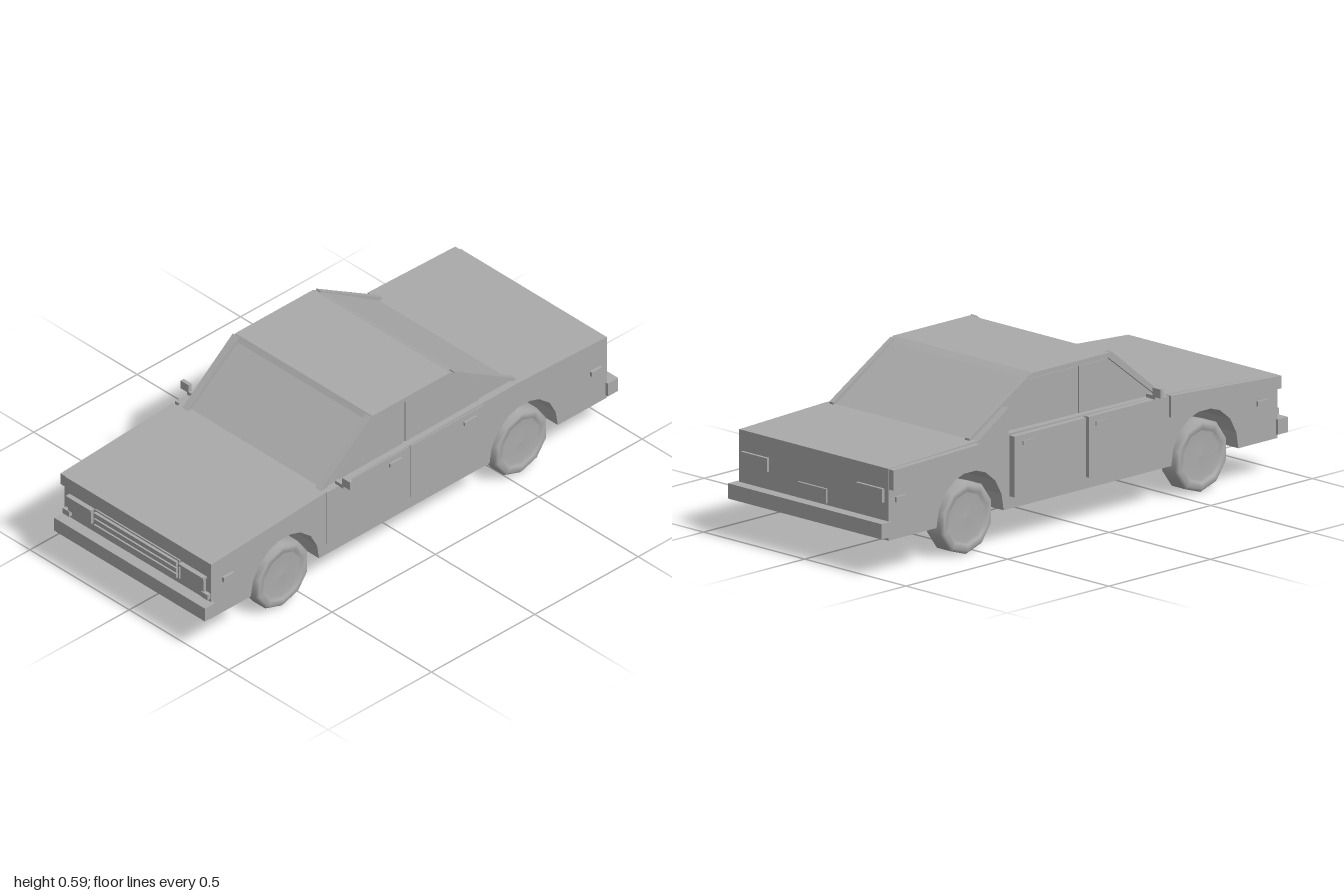
import * as THREE from 'three';

const paint = new THREE.MeshStandardMaterial({ color: 0xaaaaaa });
paint.name = 'plain grey';

export function createModel() {
  const car = new THREE.Group();
  car.name = 'saloonCar';

  function add(name, geometry) {
    const mesh = new THREE.Mesh(geometry, paint);
    mesh.name = name;
    car.add(mesh);
    return mesh;
  }
  // Box given by its limits on each axis
  function box(name, x0, x1, y0, y1, z0, z1) {
    const g = new THREE.BoxGeometry(x1 - x0, y1 - y0, z1 - z0);
    g.translate((x0 + x1) / 2, (y0 + y1) / 2, (z0 + z1) / 2);
    return add(name, g);
  }
  // Side outline of [z, y] points, extruded from x0 to x1
  function slab(name, points, x0, x1) {
    const shape = new THREE.Shape(points.map(([z, y]) => new THREE.Vector2(z, y)));
    const g = new THREE.ExtrudeGeometry(shape, { depth: x1 - x0, bevelEnabled: false });
    g.rotateY(-Math.PI / 2).translate(x1, 0, 0);
    return add(name, g);
  }

  // Lower body with wheel arches running across the full width
  const arch = (c) => [[-0.165, 0.13], [-0.155, 0.19], [-0.125, 0.245], [-0.075, 0.285], [-0.03, 0.3],
    [0.03, 0.3], [0.075, 0.285], [0.125, 0.245], [0.155, 0.19], [0.165, 0.13]].map(([z, y]) => [c + z, y]);
  const wheelZ = [-0.555, 0.6];
  slab('lowerBody', [[-0.957, 0.13], ...arch(wheelZ[0]), ...arch(wheelZ[1]), [0.957, 0.13],
    [0.957, 0.36], [0.41, 0.395], [-0.53, 0.405], [-0.957, 0.39]], -0.37, 0.367);

  // Cabin and roof
  slab('cabin', [[0.4, 0.39], [0.155, 0.575], [-0.25, 0.575], [-0.53, 0.4], [-0.53, 0.39]], -0.338, 0.338);
  slab('roof', [[0.17, 0.572], [0.155, 0.59], [-0.22, 0.59], [-0.255, 0.572]], -0.345, 0.345);

  for (const s of [-1, 1]) {
    const side = (name, pts, a, b) => slab(name, pts, Math.min(s * a, s * b), Math.max(s * a, s * b));
    // Windscreen and rear pillars
    side('frontPillar', [[0.41, 0.395], [0.165, 0.592], [0.145, 0.575], [0.38, 0.395]], 0.32, 0.348);
    side('rearPillar', [[-0.24, 0.575], [-0.235, 0.588], [-0.535, 0.412], [-0.535, 0.398]], 0.325, 0.346);
    // Side windows
    side('frontWindow', [[0.007, 0.395], [0.36, 0.395], [0.14, 0.57], [0.007, 0.57]], 0.335, 0.343);
    side('rearWindow', [[-0.36, 0.395], [-0.007, 0.395], [-0.007, 0.57], [-0.25, 0.57], [-0.36, 0.5]], 0.335, 0.343);

    // Doors and handles; the right-hand doors stand proud of the body
    const out = s < 0 ? 0.393 : 0.371;
    side('frontDoor', [[0.007, 0.175], [0.4, 0.175], [0.4, 0.395], [0.007, 0.395]], 0.36, out);
    side('rearDoor', [[-0.36, 0.175], [-0.007, 0.175], [-0.007, 0.395], [-0.36, 0.395]], 0.36, out);
    for (const z of [0.04, -0.32]) {
      side('doorHandle', [[z, 0.358], [z + 0.06, 0.358], [z + 0.06, 0.372], [z, 0.372]], out - 0.004, s < 0 ? 0.397 : 0.378);
    }
    // Wing mirrors
    const m = s * 0.406;
    box('mirror', m - 0.02, m + 0.02, 0.405, 0.438, 0.327, 0.342);
    box('mirrorStalk', s * 0.372 - 0.022, s * 0.372 + 0.022, 0.395, 0.409, 0.33, 0.342);

    // Headlamps, indicators and side markers
    box('headlamp', s * 0.283 - 0.058, s * 0.283 + 0.058, 0.235, 0.292, 0.95, 0.968);
    box('headlampBrow', s * 0.283 - 0.062, s * 0.283 + 0.062, 0.29, 0.299, 0.95, 0.976);
    box('indicator', s * 0.348 - 0.016, s * 0.348 + 0.016, 0.213, 0.235, 0.95, 0.972);
    for (const z of [0.88, -0.9]) {
      box('sideMarker', s * 0.37 - 0.008, s * 0.37 + 0.008, 0.264, 0.283, z - 0.025, z + 0.025);
    }
    // Rear lamps
    box('rearLamp', s * 0.285 - 0.065, s * 0.285 + 0.065, 0.265, 0.315, -0.968, -0.95);
  }

  // Proud panels along the right flank
  slab('rightFrontWing', [[0.41, 0.315], [0.955, 0.315], [0.955, 0.36], [0.41, 0.393]], -0.393, -0.368);
  slab('rightRearWing', [[-0.955, 0.315], [-0.53, 0.315], [-0.53, 0.4], [-0.955, 0.388]], -0.393, -0.368);
  slab('rightQuarterPanel', [[-0.53, 0.395], [-0.365, 0.395], [-0.365, 0.497]], -0.37, -0.338);

  // Bumpers
  for (const s of [-1, 1]) {
    box(s > 0 ? 'frontBumper' : 'rearBumper', -0.38, 0.38, 0.145, 0.2, s > 0 ? 0.95 : -1, s > 0 ? 1 : -0.95);
  }

  // Grille frame and bars
  box('grille', -0.212, 0.212, 0.222, 0.302, 0.95, 0.963);
  for (let i = 0; i < 3; i++) {
    box('grilleBar', -0.207, 0.207, 0.228 + i * 0.025, 0.246 + i * 0.025, 0.955, 0.974);
  }
  box('numberPlate', -0.07, 0.07, 0.208, 0.26, -0.966, -0.95);

  // Ten-sided wheels with rounded shoulders and dished hubs
  const profile = [[0, -0.03], [0.09, -0.03], [0.098, -0.043], [0.121, -0.043], [0.132, -0.032],
    [0.132, 0.032], [0.121, 0.043], [0.098, 0.043], [0.09, 0.03], [0, 0.036]]
    .map(([r, x]) => new THREE.Vector2(r, x));
  const wheel = new THREE.LatheGeometry(profile, 10, Math.PI / 2).rotateZ(-Math.PI / 2);
  for (const s of [-1, 1]) {
    for (const z of wheelZ) {
      const mesh = add(z > 0 ? 'frontWheel' : 'rearWheel', wheel);
      mesh.position.set(s * 0.316, 0.132, z);
      if (s < 0) mesh.rotation.y = Math.PI;
    }
  }
  return car;
}
